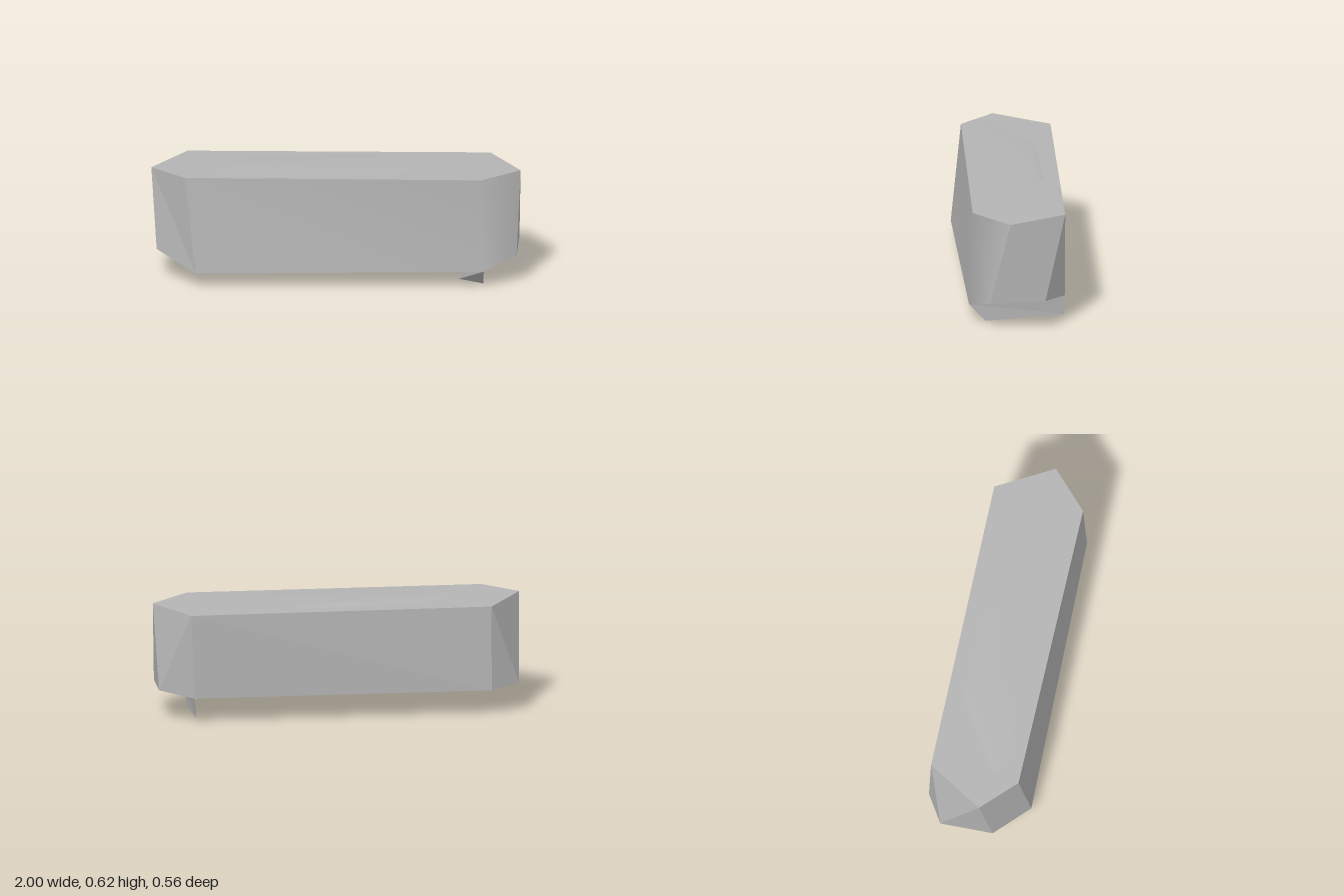
import * as THREE from 'three';

const grey = new THREE.MeshStandardMaterial({ color: 0xb4b4b4, side: THREE.DoubleSide });
grey.name = 'plain grey';

// Rim corners, going round from the left end of the model's outline
const top = {
  endL: [-1, 0.61, 0.04], frontL: [-0.815, 0.61, 0.22], frontR: [0.79, 0.61, 0.235],
  endR: [1, 0.605, 0.04], backR: [0.83, 0.605, -0.265], backL: [-0.81, 0.605, -0.265],
};
// Lower corners; the two ends tuck up and outwards
const low = {
  frontL: [-0.755, 0.083, 0.278], frontR: [0.8, 0.095, 0.255],
  endFrontR: [0.98, 0.152, 0.15], endBackR: [0.99, 0.166, -0.15], backR: [0.81, 0.143, -0.265],
  backL: [-0.81, 0.14, -0.277], endBackL: [-0.97, 0.157, -0.18], endFrontL: [-0.97, 0.168, 0.11],
};

// Sheet from points and faces of three or four corners, smooth or faceted
function sheet(name, points, faces, smooth = false) {
  let geo = new THREE.BufferGeometry();
  geo.setAttribute('position', new THREE.Float32BufferAttribute(points.flat(), 3));
  geo.setIndex(faces.flatMap(([a, b, c, d]) => (d === undefined ? [a, b, c] : [a, b, c, a, c, d])));
  if (!smooth) geo = geo.toNonIndexed();
  geo.computeVertexNormals();
  const mesh = new THREE.Mesh(geo, grey);
  mesh.name = name;
  return mesh;
}

export function createModel() {
  const group = new THREE.Group();
  group.name = 'openShell';

  // Long walls; the front one bends softly round its +x corner
  group.add(sheet('frontWall',
    [top.frontL, low.frontL, low.frontR, top.frontR, top.endR, low.endFrontR],
    [[0, 1, 2, 3], [3, 2, 5, 4]], true));
  group.add(sheet('backWall', [top.backR, low.backR, low.backL, top.backL], [[0, 1, 2, 3]]));

  // Faceted ends
  group.add(sheet('leftEnd',
    [top.endR, low.endFrontR, low.endBackR, top.backR, low.backR],
    [[0, 1, 2], [0, 2, 3], [3, 2, 4]]));
  group.add(sheet('rightEnd',
    [top.frontL, top.endL, low.endFrontL, low.frontL, low.endBackL, top.backL, low.backL],
    [[1, 2, 3, 0], [1, 4, 2], [1, 5, 4], [5, 6, 4]]));

  // Slanted panels under the ends, leaving the middle open
  group.add(sheet('leftUnderside',
    [low.endFrontR, low.frontR, low.backR, low.endBackR], [[0, 1, 2, 3]]));
  group.add(sheet('rightUnderside',
    [low.frontL, low.endFrontL, low.endBackL, low.backL], [[0, 1, 2, 3]]));

  // Roof and the thin raised skin on it
  group.add(sheet('roof',
    [top.endL, top.frontL, top.frontR, top.endR, top.backR, top.backL],
    [[0, 1, 5], [1, 2, 4, 5], [2, 3, 4]], true));
  group.add(sheet('raisedSkin', [
    [-0.8, 0.611, 0.08], [-0.41, 0.608, -0.17], [0.2, 0.608, -0.18], [0.26, 0.62, -0.13],
    [0.43, 0.62, -0.01], [0.4, 0.62, 0.07], [0.3, 0.611, 0.2], [-0.6, 0.611, 0.2],
    [-0.48, 0.62, 0], [-0.2, 0.62, -0.12], [-0.2, 0.62, 0.09],
  ], [
    [7, 10, 8], [7, 8, 0], [0, 8, 1], [8, 9, 1], [9, 2, 1], [9, 3, 2],
    [8, 10, 9], [9, 10, 3], [10, 4, 3], [10, 5, 4], [10, 6, 5], [7, 6, 10],
  ], true));

  // Flap hanging below the +x end, with its folded front corner
  group.add(sheet('flap', [
    low.frontR, [0.8, 0, 0.165], [0.8, 0.033, -0.26], low.backR,
    [0.67, 0.052, 0.245], [0.71, 0.1, 0.25],
  ], [[0, 1, 2, 3], [0, 4, 1], [0, 5, 4]]));

  return group;
}
